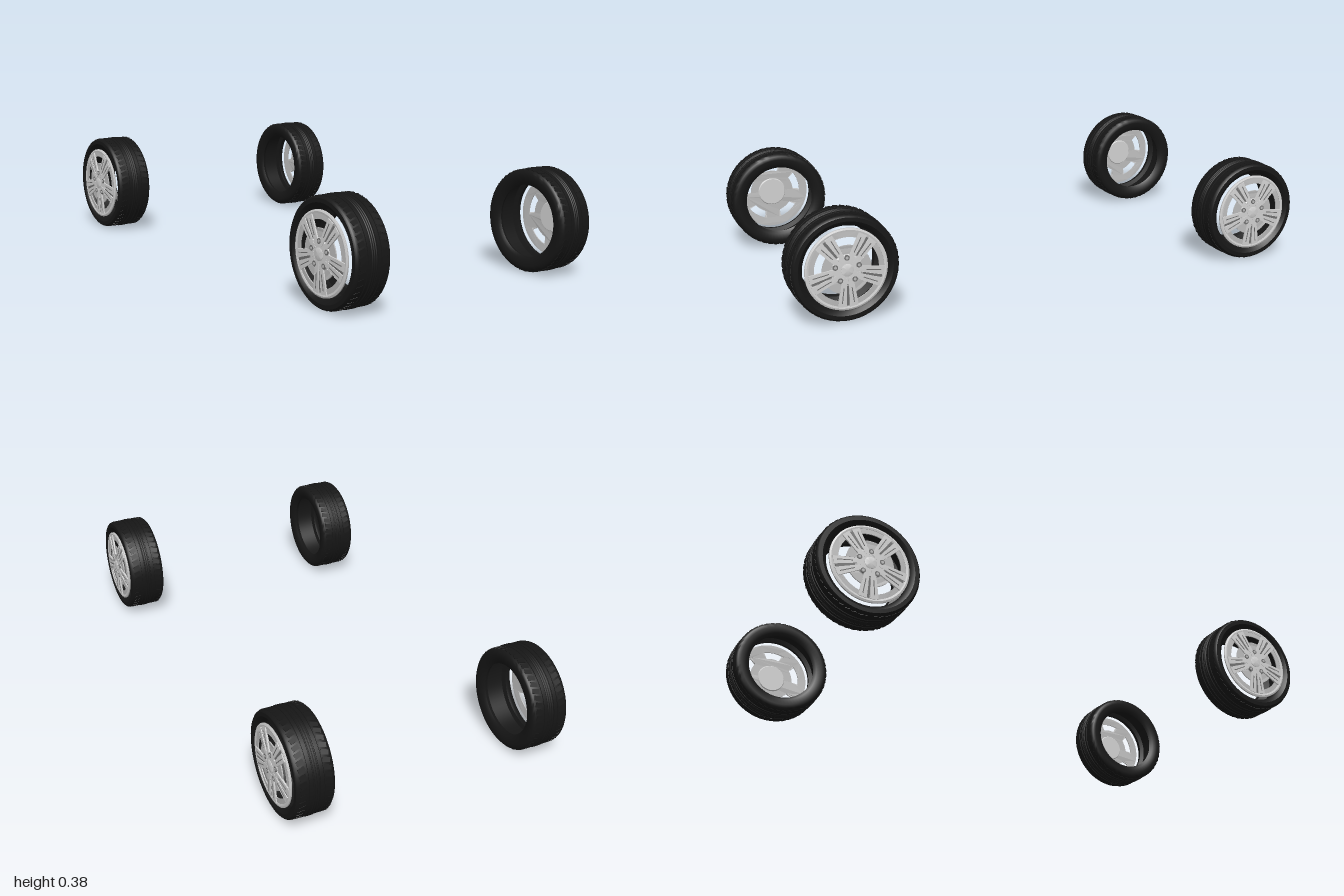
import * as THREE from 'three';
import { mergeGeometries, toCreasedNormals } from 'three/addons/utils/BufferGeometryUtils.js';

const mat = (name, color) => {
  const m = new THREE.MeshStandardMaterial({ color });
  m.name = name;
  return m;
};

const RIM_R = 0.144;
const STEP = Math.PI * 2 / 5;
const polar = (r, a) => new THREE.Vector2(r * Math.cos(a), r * Math.sin(a));
// push a flat part out into the shallow dome of the rim
function dome(geo) {
  const p = geo.attributes.position;
  for (let i = 0; i < p.count; i++) {
    const q = (p.getX(i) ** 2 + p.getY(i) ** 2) / RIM_R ** 2;
    p.setZ(i, p.getZ(i) + 0.005 * (1 - q));
  }
  geo.computeVertexNormals();
  return geo;
}

const flat = (shape, depth, z) =>
  dome(new THREE.ExtrudeGeometry(shape, { depth, bevelEnabled: false, curveSegments: 64 }).translate(0, 0, z));

const lathe = (pts, segments) =>
  toCreasedNormals(
    new THREE.LatheGeometry(pts.map(([r, z]) => new THREE.Vector2(r, z)), segments).rotateX(Math.PI / 2), 0.6);

// tyre body: closed section with narrow grooves around the tread
function tyreGeometry() {
  const pts = [[0.131, -0.058], [0.142, -0.067], [0.165, -0.071], [0.178, -0.069], [0.1845, -0.063], [0.187, -0.054]];
  for (const z of [-0.027, -0.012, 0.012, 0.027]) {
    pts.push([0.1885, z - 0.002], [0.186, z - 0.0015], [0.186, z + 0.0015], [0.1885, z + 0.002]);
  }
  pts.push([0.187, 0.058], [0.185, 0.066], [0.18, 0.0705], [0.166, 0.071], [0.153, 0.062], [0.147, 0.05],
    [0.147, 0.04], [0.163, 0.034], [0.163, -0.036], [0.136, -0.046], [0.131, -0.058]);
  return lathe(pts, 72);
}

// slanted shoulder blocks and three narrow centre ribs
function treadGeometry() {
  const parts = [];
  const n = 48;
  for (let i = 0; i < n; i++) {
    for (const s of [-1, 1]) {
      parts.push(new THREE.BoxGeometry(0.017, 0.004, 0.026)
        .rotateY(s * 0.3)
        .translate(0, 0.1862, s * 0.045)
        .rotateZ((i + (s > 0 ? 0.5 : 0)) * Math.PI * 2 / n));
    }
  }
  for (const z of [-0.008, 0, 0.008]) {
    parts.push(new THREE.CylinderGeometry(0.19, 0.19, 0.004, 72, 1).rotateX(Math.PI / 2).translate(0, 0, z));
  }
  // keep only the outer band of each rib so the tyre stays open
  return mergeGeometries(parts.slice(0, 2 * n).concat(
    [-0.008, 0, 0.008].map((z) => new THREE.LatheGeometry(
      [[0.187, -0.0025], [0.19, -0.0015], [0.19, 0.0015], [0.187, 0.0025]]
        .map(([r, d]) => new THREE.Vector2(r, z + d)), 72).rotateX(Math.PI / 2))));
}

// thin rim disc with five open windows
function discGeometry() {
  const shape = new THREE.Shape().absarc(0, 0, RIM_R, 0, Math.PI * 2);
  for (let k = 0; k < 5; k++) {
    const a = Math.PI / 2 + k * STEP;
    const pts = [];
    for (let i = 0; i <= 8; i++) pts.push(polar(0.113, a - 0.4 + i * 0.1));
    for (let i = 0; i <= 4; i++) pts.push(polar(0.086, a + 0.3 - i * 0.15));
    shape.holes.push(new THREE.Path(pts));
  }
  return flat(shape, 0.004, 0.067);
}

// five split spokes, each a pair of tapering bars
function spokeGeometry() {
  const parts = [];
  for (let k = 0; k < 5; k++) {
    for (const s of [-1, 1]) {
      const pts = [[0.028, 0.003], [0.085, 0.004], [0.132, 0.006], [0.128, 0.036], [0.085, 0.029], [0.028, 0.019]]
        .map(([x, y]) => new THREE.Vector2(x, s * y));
      parts.push(flat(new THREE.Shape(pts), 0.006, 0.069).rotateZ(-Math.PI / 2 + k * STEP));
    }
  }
  return mergeGeometries(parts);
}

// dark slits inside each spoke and channels along its bars
function slitGeometry() {
  const parts = [];
  for (let k = 0; k < 5; k++) {
    const a = -Math.PI / 2 + k * STEP;
    parts.push(dome(new THREE.BoxGeometry(0.07, 0.009, 0.002).translate(0.092, 0, 0.0715)).rotateZ(a));
    for (const s of [-1, 1]) {
      parts.push(dome(new THREE.BoxGeometry(0.055, 0.003, 0.001).rotateZ(s * 0.13)
        .translate(0.09, s * 0.0175, 0.0753)).rotateZ(a));
    }
  }
  return mergeGeometries(parts);
}

// ring of five cylinders facing outwards between the spokes
function lugGeometry(radius, depth, z) {
  const parts = [];
  for (let k = 0; k < 5; k++) {
    const c = polar(0.043, Math.PI / 2 + k * STEP);
    parts.push(new THREE.CylinderGeometry(radius, radius, depth, 16).rotateX(Math.PI / 2).translate(c.x, c.y, z));
  }
  return mergeGeometries(parts);
}

export function createModel() {
  const rubber = mat('tyre rubber', 0x161616);
  const alloy = mat('bright alloy', 0xd2d2d2);
  const recess = mat('shaded alloy', 0xbcbcbc);
  const dark = mat('dark recess', 0x727272);

  const parts = [
    ['tyre', tyreGeometry(), rubber],
    ['treadBlocks', treadGeometry(), rubber],
    ['rimDisc', discGeometry(), recess],
    ['rimLip', lathe([[0.131, 0.068], [RIM_R, 0.069], [RIM_R, 0.072], [0.138, 0.0745], [0.131, 0.073], [0.131, 0.068]], 64), alloy],
    ['spokes', spokeGeometry(), alloy],
    ['spokeSlits', slitGeometry(), dark],
    ['hub', lathe([[0, 0.066], [0.052, 0.066], [0.056, 0.071], [0.05, 0.0785], [0, 0.0795]], 48), alloy],
    ['lugHoles', lugGeometry(0.0095, 0.004, 0.078), dark],
    ['lugNuts', lugGeometry(0.005, 0.004, 0.079), recess],
    ['hubCap', lathe([[0, 0.076], [0.022, 0.076], [0.022, 0.0805], [0.017, 0.0825], [0, 0.083]], 40), alloy],
  ];

  const model = new THREE.Group();
  model.name = 'wheelSet';
  for (const sx of [1, -1]) {
    for (const sz of [1, -1]) {
      const wheel = new THREE.Group();
      wheel.name = (sz > 0 ? 'front' : 'back') + (sx > 0 ? 'Left' : 'Right') + 'Wheel';
      for (const [name, geo, material] of parts) {
        const mesh = new THREE.Mesh(geo, material);
        mesh.name = name;
        wheel.add(mesh);
      }
      wheel.position.set(sx * 0.451, 0.19, sz * 0.81);
      wheel.rotation.y = sx * Math.PI / 2;
      model.add(wheel);
    }
  }
  return model;
}
